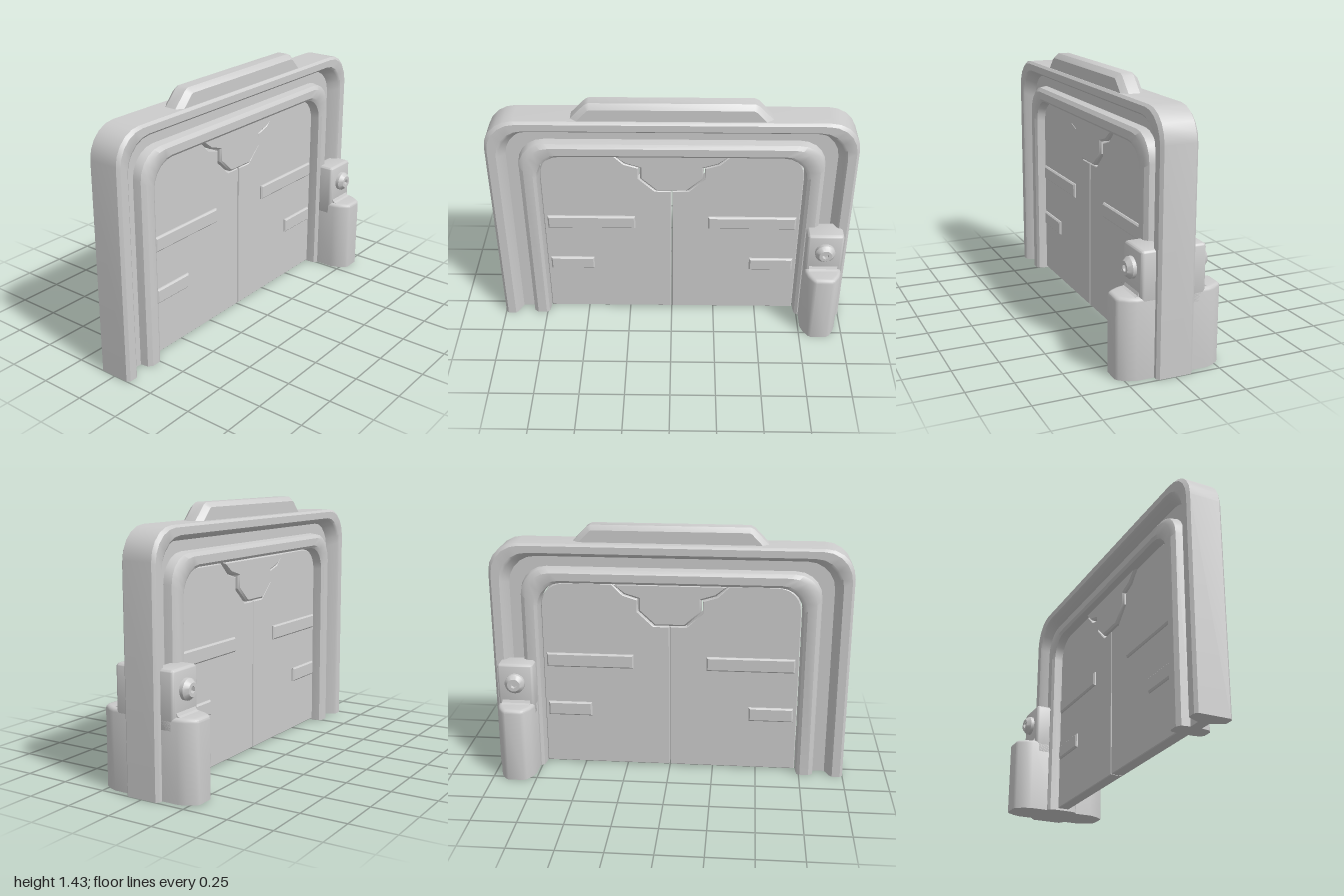
import * as THREE from 'three';
import { toCreasedNormals } from 'three/addons/utils/BufferGeometryUtils.js';
import { RoundedBoxGeometry } from 'three/addons/geometries/RoundedBoxGeometry.js';

const grey = new THREE.MeshStandardMaterial({ color: 0xcccccc });

function add(parent, name, geometry, x = 0, y = 0, z = 0) {
  const mesh = new THREE.Mesh(toCreasedNormals(geometry, 0.6), grey);
  mesh.name = name;
  mesh.position.set(x, y, z);
  parent.add(mesh);
  return mesh;
}

const shapeOf = pts => new THREE.Shape(pts.map(([x, y]) => new THREE.Vector2(x, y)));

// Bevelled slab centred on z = 0; the bevel stays inside the drawn outline.
function slab(shape, halfDepth, bevel, size = bevel) {
  const geo = new THREE.ExtrudeGeometry(shape, {
    depth: 2 * (halfDepth - bevel), bevelThickness: bevel, bevelSize: size,
    bevelOffset: -size, bevelSegments: 1, curveSegments: 6,
  });
  return geo.translate(0, 0, bevel - halfDepth);
}

// Frame section: [distance in from the outer edge, z], mirrored to the back.
const front = [
  [0, 0.085], [0.015, 0.1], [0.06, 0.1], [0.072, 0.09], [0.1, 0.03], [0.165, 0.03],
  [0.172, 0.075], [0.195, 0.092], [0.245, 0.092], [0.262, 0.08], [0.268, 0.04],
];
const section = [...front, ...front.slice().reverse().map(([d, z]) => [d, -z])];

// One arch line at inset d: up the right-hand side, over the top and down.
function archLine(d) {
  const w = 1 - d, top = 1.34 - d * 0.85, r = 0.165 - d * 0.1, pts = [[-w, 0]];
  for (const s of [-1, 1]) {
    for (let k = 0; k <= 5; k++) {
      const a = (s < 0 ? k : 5 - k) / 5 * Math.PI / 2;
      pts.push([s * (w - r + r * Math.cos(a)), top - r + r * Math.sin(a)]);
    }
  }
  pts.push([w, 0]);
  return pts;
}

function archGeometry() {
  const lines = section.map(([d]) => archLine(d));
  const n = section.length, rows = lines[0].length, pos = [], idx = [];
  for (let i = 0; i < rows; i++) {
    for (let j = 0; j < n; j++) {
      pos.push(...lines[j][i], section[j][1]);
      if (i === rows - 1) continue;
      const a = i * n + j, b = i * n + (j + 1) % n;
      idx.push(a, b, a + n, b, b + n, a + n);
    }
  }
  const geo = new THREE.BufferGeometry();
  geo.setAttribute('position', new THREE.Float32BufferAttribute(pos, 3));
  geo.setIndex(idx);
  return geo;
}

// Half outline of the keystone plate, from the top edge to its foot.
const keystoneHalf = [[0.32, 1.108], [0.255, 1.05], [0.175, 1.025], [0.175, 0.955], [0.085, 0.872]];

function doorShape(s) {
  const shape = new THREE.Shape();
  const gap = 0.008;
  shape.moveTo(s * 0.003, 0.01);
  shape.lineTo(s * 0.726, 0.01);
  shape.lineTo(s * 0.726, 0.965);
  shape.bezierCurveTo(s * 0.726, 1.05, s * 0.67, 1.106, s * 0.585, 1.106);
  keystoneHalf.forEach(([x, y], i) => shape.lineTo(s * (x + gap), i ? y - gap : 1.106));
  shape.lineTo(s * 0.003, 0.864);
  return shape;
}

// Clamp for one face of the frame, built around its own centre line.
function clamp() {
  const group = new THREE.Group();
  const half = [[0.102, 0.03], [0.102, 0.195], [0.088, 0.235], [0.062, 0.275], [0.045, 0.286]];
  const plan = [...half, ...half.slice().reverse().map(([x, z]) => [-x, z])];
  const bevel = 0.02;
  const body = new THREE.ExtrudeGeometry(shapeOf(plan), {
    depth: 0.43 - bevel, bevelThickness: bevel, bevelSize: bevel, bevelOffset: -bevel, bevelSegments: 3,
  });
  body.rotateX(Math.PI / 2).translate(0, 0.43 - bevel, 0);
  // Keep the foot square by flattening the lower bevel onto the ground
  const p = body.attributes.position;
  for (let i = 0; i < p.count; i++) p.setY(i, Math.max(p.getY(i), 0));
  add(group, 'clampBody', body);
  add(group, 'clampNeck', new RoundedBoxGeometry(0.204, 0.32, 0.135, 3, 0.02), 0, 0.503, 0.11);
  // Sloped shoulder between body and neck
  const shoulder = new THREE.ExtrudeGeometry(
    shapeOf([[0.16, 0.4], [0.21, 0.4], [0.205, 0.428], [0.185, 0.435], [0.175, 0.455], [0.16, 0.455]]),
    { depth: 0.16, bevelEnabled: false });
  shoulder.rotateY(-Math.PI / 2).translate(0.08, 0, 0);
  add(group, 'clampShoulder', shoulder);
  // Bolt head with a hexagonal socket
  const profile = [[0.056, 0], [0.056, 0.022], [0.036, 0.045], [0.018, 0.045]];
  const head = new THREE.LatheGeometry(profile.map(q => new THREE.Vector2(...q)), 24);
  add(group, 'boltHead', head.rotateX(Math.PI / 2), 0, 0.555, 0.175);
  const socket = new THREE.LatheGeometry(
    [[0.019, 0.045], [0.017, 0.025], [0, 0.025]].map(q => new THREE.Vector2(...q)), 6);
  add(group, 'boltSocket', socket.rotateX(Math.PI / 2), 0, 0.555, 0.175);
  return group;
}

export function createModel() {
  const model = new THREE.Group();
  model.name = 'gate';

  // Arched frame and its two feet
  add(model, 'archFrame', archGeometry());
  for (const s of [-1, 1]) {
    const foot = new THREE.ShapeGeometry(shapeOf(section.map(([d, z]) => [s * (1 - d), z])));
    add(model, 'frameFoot', foot.rotateX(Math.PI / 2));
  }

  // Raised cap on top of the frame
  const cap = shapeOf([[-0.56, 1.31], [0.56, 1.31], [0.535, 1.34], [0.458, 1.42], [0.435, 1.432],
    [-0.435, 1.432], [-0.458, 1.42], [-0.535, 1.34]]);
  add(model, 'topCap', slab(cap, 0.062, 0.03, 0.025), 0, 0, 0.018);

  // Door leaves with raised bars on both faces
  for (const s of [-1, 1]) {
    const side = s > 0 ? 'left' : 'right';
    add(model, side + 'Door', slab(doorShape(s), 0.035, 0.004));
    for (const [name, inner, y] of [['LongBar', 0.207, 0.65], ['ShortBar', 0.452, 0.35]]) {
      const bar = shapeOf([[inner, y - 0.041], [0.705, y - 0.041], [0.705, y + 0.041], [inner, y + 0.041]]
        .map(([x, h]) => [s * x, h]));
      add(model, side + name, slab(bar, 0.05, 0.008));
    }
  }

  // Keystone plate between the leaves
  const keystone = [...keystoneHalf, ...keystoneHalf.slice().reverse().map(([x, y]) => [-x, y])];
  add(model, 'keystone', slab(shapeOf(keystone), 0.05, 0.01));

  // Clamps on the left post, front and back
  for (const turn of [0, Math.PI]) {
    const c = clamp();
    c.name = turn ? 'backClamp' : 'frontClamp';
    c.position.x = 0.863;
    c.rotation.y = turn;
    model.add(c);
  }
  return model;
}
